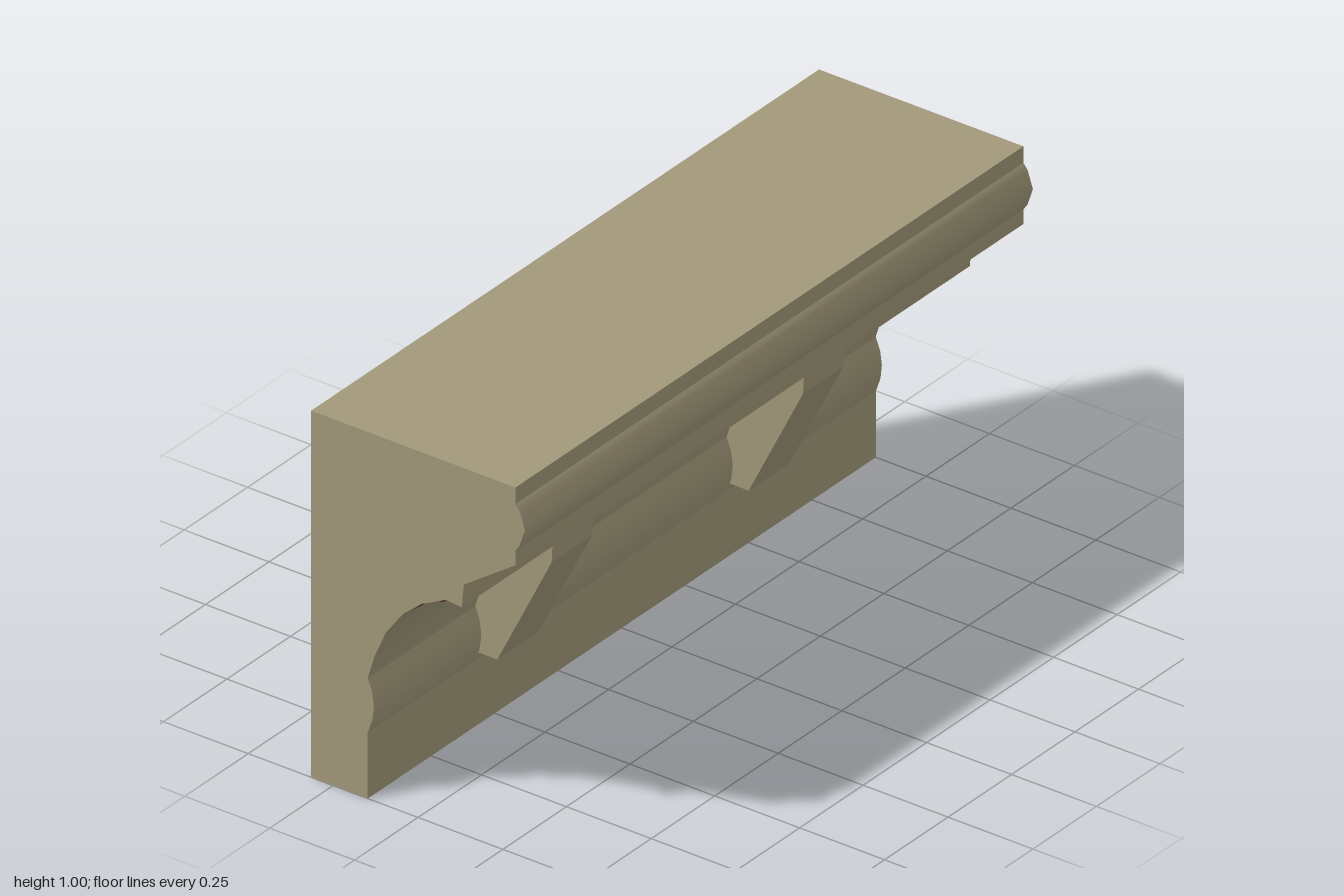
import * as THREE from 'three';

const stone = new THREE.MeshStandardMaterial({ color: 0xa2997a, side: THREE.DoubleSide });
stone.name = 'stone';
const darkBrown = new THREE.MeshStandardMaterial({ color: 0x3c1f0b, side: THREE.DoubleSide });
darkBrown.name = 'darkBrown';

// Sweeps a [z, y] path across x; normals are smooth along the path.
function band(name, path, x0 = -1, x1 = 1, material = stone) {
  const pos = [], index = [];
  path.forEach(([z, y], i) => {
    pos.push(x0, y, z, x1, y, z);
    if (i) {
      const a = 2 * i - 2;
      index.push(a + 2, a + 3, a + 1, a + 2, a + 1, a);
    }
  });
  const geo = new THREE.BufferGeometry();
  geo.setAttribute('position', new THREE.Float32BufferAttribute(pos, 3));
  geo.setIndex(index);
  geo.computeVertexNormals();
  const mesh = new THREE.Mesh(geo, material);
  mesh.name = name;
  return mesh;
}

// Sweeps a path as separate flat faces.
function flatBands(name, path, x0, x1) {
  const group = new THREE.Group();
  group.name = name;
  for (let i = 1; i < path.length; i++) group.add(band(name + 'Face', [path[i - 1], path[i]], x0, x1));
  return group;
}

// Flat [z, y] outline standing at a given x, facing outward on the chosen side.
function sidePlate(name, outline, x, side) {
  const shape = new THREE.Shape(outline.map(([z, y]) => new THREE.Vector2(side * -z, y)));
  const geo = new THREE.ShapeGeometry(shape);
  geo.rotateY(side * Math.PI / 2);
  const mesh = new THREE.Mesh(geo, stone);
  mesh.position.x = x;
  mesh.name = name;
  return mesh;
}

export function createModel() {
  const model = new THREE.Group();
  model.name = 'cornice';

  // Profile from the top front edge down to the foot
  const fascia = [[0.287, 1], [0.287, 0.955]];
  const topBead = [[0.287, 0.955], [0.299, 0.94], [0.315, 0.893], [0.299, 0.845], [0.287, 0.828]];
  const soffit = [[0.287, 0.828], [0.287, 0.788], [0.135, 0.682], [0.129, 0.618], [0.082, 0.622]];
  const cove = [[0.082, 0.622], [0.01, 0.586], [-0.044, 0.54], [-0.094, 0.472], [-0.128, 0.395], [-0.148, 0.329]];
  const lowerBead = [[-0.148, 0.329], [-0.135, 0.295], [-0.13, 0.258], [-0.134, 0.22], [-0.148, 0.18]];
  const foot = [[-0.148, 0.18], [-0.148, 0], [-0.315, 0]];

  model.add(
    flatBands('fascia', fascia),
    band('topBead', topBead),
    flatBands('soffit', soffit),
    band('cove', cove),
    band('lowerBead', lowerBead),
    flatBands('foot', foot),
    // The back is closed only along its upper part
    flatBands('backAndTop', [[-0.315, 0.6], [-0.315, 1], [0.287, 1]])
  );

  // Dark lines laid on the top of the cove
  model.add(
    band('upperDarkLine', [[0.079, 0.617], [0.061, 0.608]], -1, 1, darkBrown),
    band('lowerDarkLine', [[0.013, 0.584], [-0.0185, 0.558]], -1, 1, darkBrown)
  );

  // End caps
  const outline = [...fascia, ...topBead.slice(1), ...soffit.slice(1), ...cove.slice(1),
    ...lowerBead.slice(1), ...foot.slice(1), [-0.315, 1]];
  for (const side of [-1, 1]) model.add(sidePlate('endCap', outline, side, side));

  // Hollow brackets, open at the back and top
  const face = [[0.082, 0.62], [0.077, 0.525], [-0.083, 0.205], [-0.166, 0.205]];
  for (const x of [-0.497, 0.493]) {
    const bracket = flatBands('bracket', face, x - 0.08, x + 0.08);
    for (const side of [-1, 1])
      bracket.add(sidePlate('bracketSide', [...face, [-0.166, 0.62]], x + side * 0.08, side));
    model.add(bracket);
  }
  return model;
}
